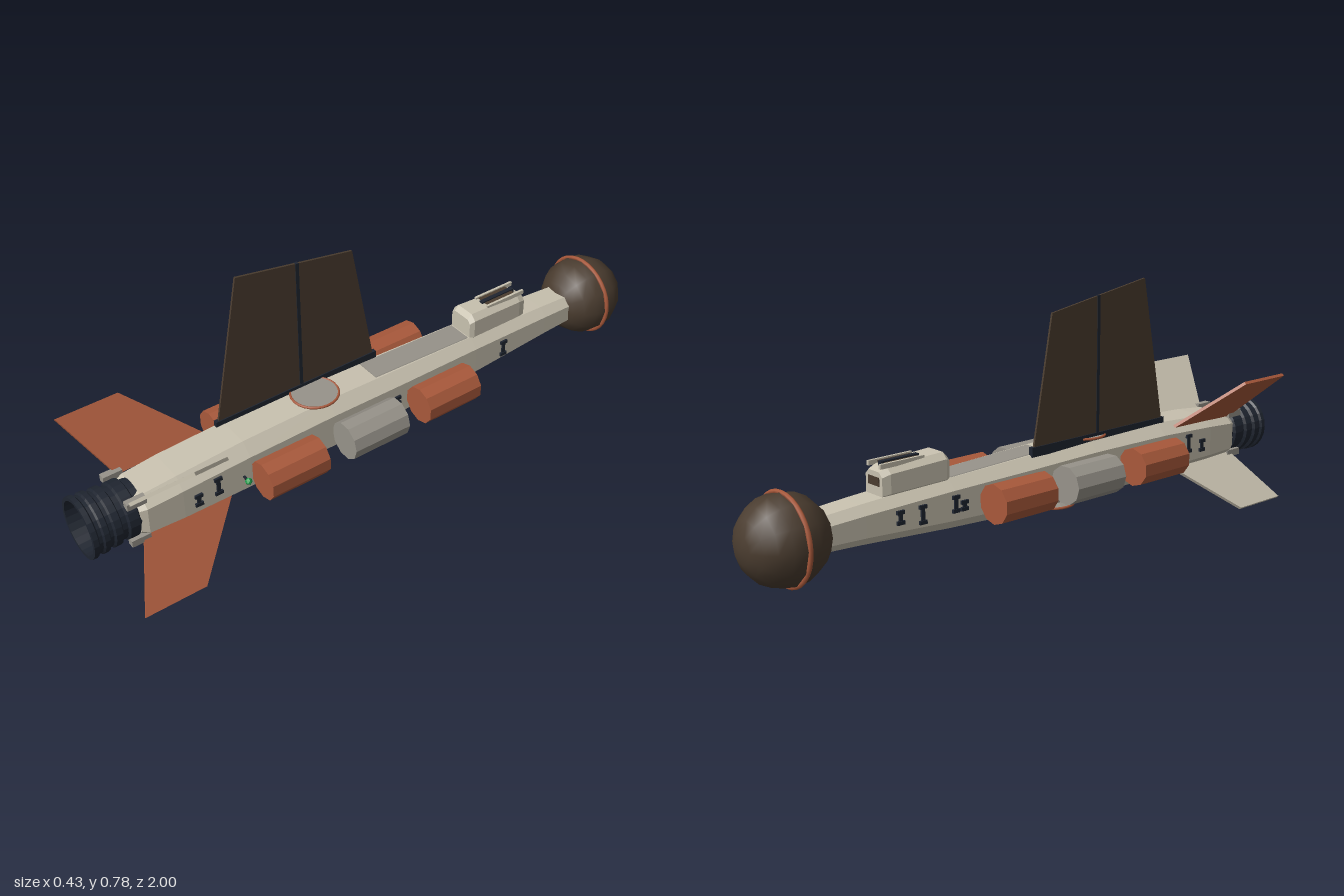
import * as THREE from 'three';

const CREAM = 0xc9c2b0, GREY = 0x97938a, ORANGE = 0xa9593b, BROWN = 0x4a3c2f, NAVY = 0x1f2530;
const AXIS = 0.22; // height of the ship's long axis

const mat = (color, flatShading = true, side = THREE.FrontSide) =>
  new THREE.MeshStandardMaterial({ color, flatShading, side });

function add(parent, name, geometry, material, x = 0, y = 0, z = 0) {
  const mesh = new THREE.Mesh(geometry, material);
  mesh.name = name;
  mesh.position.set(x, y, z);
  parent.add(mesh);
  return mesh;
}

// Chamfered box lofted through sections [z, halfWidth, bottom, top, chamfer], front to back
function loft(sections) {
  const rings = sections.map(([z, w, b, t, c]) => [
    [w - c, b, z], [w, b + c, z], [w, t - c, z], [w - c, t, z],
    [c - w, t, z], [-w, t - c, z], [-w, b + c, z], [c - w, b, z]]);
  const pos = [];
  const tri = (...pts) => pts.forEach(p => pos.push(...p));
  for (let s = 0; s < rings.length - 1; s++) {
    const a = rings[s], b = rings[s + 1];
    for (let i = 0; i < 8; i++) {
      const j = (i + 1) % 8;
      tri(a[i], b[i], b[j]);
      tri(a[i], b[j], a[j]);
    }
  }
  const first = rings[0], last = rings[rings.length - 1];
  for (let i = 1; i < 7; i++) {
    tri(first[0], first[i], first[i + 1]);
    tri(last[0], last[i + 1], last[i]);
  }
  const g = new THREE.BufferGeometry();
  g.setAttribute('position', new THREE.Float32BufferAttribute(pos, 3));
  g.computeVertexNormals();
  return g;
}

// Flat plate with a (z, y) outline, centred on x = 0
function plate(points, thickness) {
  const shape = new THREE.Shape(points.map(p => new THREE.Vector2(...p)));
  const g = new THREE.ExtrudeGeometry(shape, { depth: thickness, bevelEnabled: false });
  return g.translate(0, 0, -thickness / 2).rotateY(-Math.PI / 2);
}

const HULL = [
  [0.85, 0.076, 0.150, 0.284, 0.030], [0.83, 0.086, 0.140, 0.290, 0.032],
  [0.72, 0.090, 0.136, 0.300, 0.034], [0.50, 0.090, 0.132, 0.311, 0.036],
  [0.20, 0.085, 0.128, 0.311, 0.036], [-0.05, 0.081, 0.132, 0.303, 0.034],
  [-0.35, 0.074, 0.145, 0.293, 0.030], [-0.65, 0.065, 0.163, 0.278, 0.026],
  [-0.77, 0.061, 0.168, 0.270, 0.024]];

// Value of a hull column (1 half width, 3 top) at a given z
function hullAt(z, col) {
  const k = Math.max(1, HULL.findIndex(s => s[0] <= z));
  const a = HULL[k - 1], b = HULL[k];
  return THREE.MathUtils.lerp(a[col], b[col], (a[0] - z) / (a[0] - b[0]));
}

export function createModel() {
  const ship = new THREE.Group();
  ship.name = 'spaceship';
  add(ship, 'hull', loft(HULL), mat(CREAM));

  // Grey inset along the spine
  const spine = [0.02, -0.05, -0.2, -0.34].map(z => {
    const top = hullAt(z, 3);
    return [z, 0.042, top - 0.01, top + 0.002, 0.002];
  });
  add(ship, 'spinePanel', loft(spine), mat(GREY));

  // Bow globe with its band
  const globe = new THREE.SphereGeometry(0.13, 12, 10).rotateX(Math.PI / 2);
  add(ship, 'bowGlobe', globe, mat(BROWN, false), 0, AXIS, -0.87);
  add(ship, 'globeBand', new THREE.TorusGeometry(0.129, 0.007, 6, 32), mat(ORANGE, false), 0, AXIS, -0.868);

  // Engine: ribbed shell, hollow at the rear, glowing plug inside
  const engine = new THREE.Group();
  engine.name = 'engine';
  engine.position.y = AXIS;
  ship.add(engine);
  const shell = [[0.001, 0.83], [0.078, 0.83], [0.078, 0.85], [0.087, 0.855], [0.087, 0.885], [0.08, 0.89],
    [0.08, 0.905], [0.089, 0.91], [0.089, 0.93], [0.083, 0.935], [0.083, 0.945], [0.092, 0.95],
    [0.092, 0.965], [0.087, 0.97], [0.087, 0.98], [0.094, 0.985], [0.094, 1], [0.083, 1], [0.079, 0.9], [0.001, 0.9]];
  add(engine, 'engineShell', new THREE.LatheGeometry(shell.map(p => new THREE.Vector2(...p)), 24).rotateX(Math.PI / 2),
    mat(NAVY, true, THREE.DoubleSide));
  add(engine, 'exhaustPlug', new THREE.CylinderGeometry(0.028, 0.08, 0.055, 12).rotateX(Math.PI / 2), mat(0xb05a2e), 0, 0, 0.93);
  add(engine, 'exhaustCore', new THREE.CylinderGeometry(0.028, 0.028, 0.004, 12).rotateX(Math.PI / 2), mat(0xc88058), 0, 0, 0.958);
  for (const sx of [-1, 1]) for (const sy of [-1, 1])
    add(engine, 'engineClamp', new THREE.BoxGeometry(0.022, 0.022, 0.06), mat(GREY), sx * 0.068, sy * 0.068, 0.855);

  // Four diagonal tail fins
  const finShape = [[0.56, 0.1], [0.84, 0.09], [0.935, 0.299], [0.74, 0.299]];
  for (let i = 0; i < 4; i++) {
    const fin = add(ship, 'tailFin', plate(finShape, 0.01), mat(i % 2 ? CREAM : ORANGE), 0, AXIS, 0);
    fin.rotation.z = Math.PI / 4 + i * Math.PI / 2;
  }

  // Tall offset sail on a dark rail
  const sail = new THREE.Group();
  sail.name = 'sail';
  sail.position.x = -0.049;
  ship.add(sail);
  add(sail, 'sailPanel', plate([[-0.035, 0.31], [0.52, 0.31], [0.43, 0.785], [0.04, 0.72]], 0.007), mat(BROWN));
  add(sail, 'sailMast', new THREE.BoxGeometry(0.011, 0.445, 0.011), mat(NAVY), 0, 0.53, 0.23);
  add(sail, 'sailRail', new THREE.BoxGeometry(0.014, 0.03, 0.57), mat(NAVY), 0, 0.312, 0.242);

  // Round plates above and below
  for (const [y, z, dir] of [[0.308, 0.215, 1], [0.128, 0.085, -1]]) {
    const dish = new THREE.Group();
    dish.name = 'roundPlate';
    dish.position.set(0, y, z);
    ship.add(dish);
    add(dish, 'plateBody', new THREE.CylinderGeometry(dir > 0 ? 0.073 : 0.05, dir > 0 ? 0.05 : 0.073, 0.018, 24), mat(GREY));
    add(dish, 'plateRim', new THREE.TorusGeometry(0.072, 0.004, 6, 24).rotateX(Math.PI / 2), mat(ORANGE, false), 0, dir * 0.007, 0);
  }

  // Dorsal cabin with a roof slot
  const cabin = new THREE.Group();
  cabin.name = 'cabin';
  ship.add(cabin);
  add(cabin, 'cabinBody', loft([[-0.345, 0.043, 0.28, 0.355, 0.012], [-0.36, 0.05, 0.275, 0.37, 0.018],
    [-0.55, 0.045, 0.27, 0.362, 0.018], [-0.575, 0.038, 0.27, 0.35, 0.014]]), mat(CREAM));
  add(cabin, 'cabinSlot', new THREE.BoxGeometry(0.05, 0.012, 0.11), mat(BROWN), 0, 0.363, -0.49);
  for (const s of [-1, 1])
    add(cabin, 'slotRail', new THREE.BoxGeometry(0.008, 0.014, 0.15), mat(CREAM), s * 0.028, 0.366, -0.5);
  add(cabin, 'slotBar', new THREE.BoxGeometry(0.014, 0.014, 0.13), mat(NAVY), 0, 0.366, -0.49);
  add(cabin, 'cabinWindow', new THREE.BoxGeometry(0.05, 0.025, 0.006), mat(BROWN), 0, 0.322, -0.574);

  // Small I-shaped hatch on the hull side
  const hatch = (side, z, y, h) => {
    const g = new THREE.Group();
    g.name = 'sideHatch';
    g.position.set(side * hullAt(z, 1), y, z);
    ship.add(g);
    add(g, 'hatchBar', new THREE.BoxGeometry(0.01, h, 0.012), mat(NAVY));
    for (const s of [-1, 1])
      add(g, 'hatchEnd', new THREE.BoxGeometry(0.014, 0.011, 0.025), mat(NAVY), 0, s * (h / 2 - 0.005), 0);
  };

  for (const side of [-1, 1]) {
    // Drop tanks with their pylons
    [[0.397, ORANGE], [0.11, GREY], [-0.167, ORANGE]].forEach(([z, color], i) => {
      const tank = add(ship, 'sideTank', new THREE.CylinderGeometry(0.06, 0.06, 0.197, 10).rotateX(Math.PI / 2),
        mat(color), side * 0.14, AXIS, z);
      tank.rotation.z = i * 0.3;
      add(ship, 'tankPylon', new THREE.BoxGeometry(0.03, 0.03, 0.12), mat(GREY), side * 0.083, AXIS, z);
    });
    // Navigation light on a stalk
    add(ship, 'navigationLight', new THREE.OctahedronGeometry(0.011, 1), mat(side > 0 ? 0x1f9a4a : 0x9a3a3a),
      side * 0.115, 0.217, 0.525);
    add(ship, 'lightStalk', new THREE.BoxGeometry(0.035, 0.006, 0.006), mat(NAVY), side * 0.098, 0.217, 0.525);

    hatch(side, 0.675, 0.213, 0.04);
    hatch(side, 0.61, 0.23, 0.06);
    hatch(side, -0.03, 0.22, 0.03);
    hatch(side, -0.465, 0.218, 0.055);
  }
  // Extra sensor hatches on the right side
  hatch(-1, -0.54, 0.225, 0.04);
  hatch(-1, -0.35, 0.225, 0.05);
  hatch(-1, -0.32, 0.215, 0.03);
  return ship;
}
